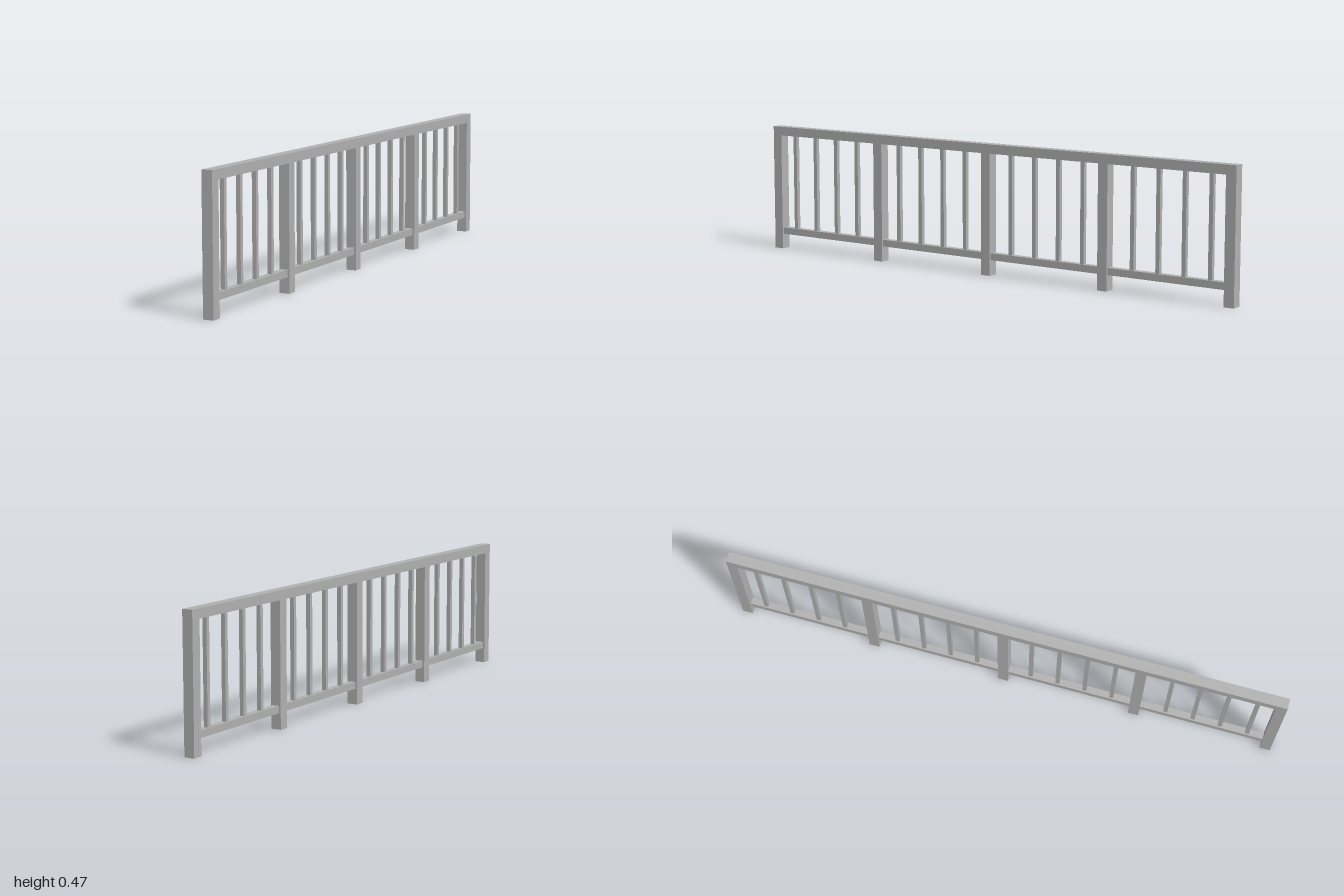
import * as THREE from 'three';

export function createModel() {
  const group = new THREE.Group();
  group.name = 'railing';
  const paint = new THREE.MeshStandardMaterial({ color: 0xb0b0b0 });
  paint.name = 'grey paint';

  const HEIGHT = 0.47, POST = 0.038, RAIL_UNDER = 0.437;
  const LOW_BOTTOM = 0.056, LOW_TOP = 0.081, LOW_WIDTH = 0.025;

  // Box standing between two heights, centred on x = 0
  function bar(name, width, y0, y1, length, z) {
    const mesh = new THREE.Mesh(new THREE.BoxGeometry(width, y1 - y0, length), paint);
    mesh.position.set(0, (y0 + y1) / 2, z);
    mesh.name = name;
    group.add(mesh);
  }

  // Handrail over the whole length
  bar('topRail', POST, RAIL_UNDER, HEIGHT, 2, 0);

  // Five posts, with a lower rail section between each pair
  const spacing = (2 - POST) / 4;
  for (let i = 0; i < 5; i++) {
    const z = -1 + POST / 2 + i * spacing;
    bar('post', POST, 0, RAIL_UNDER, POST, z);
    if (i < 4) bar('lowerRail', LOW_WIDTH, LOW_BOTTOM, LOW_TOP, spacing - POST, z + spacing / 2);
  }

  // Four slim balusters in each bay
  for (let i = -9; i <= 9; i++) {
    if (i % 5 !== 0) bar('baluster', 0.015, LOW_TOP, RAIL_UNDER, 0.015, i * 0.1003);
  }
  return group;
}
